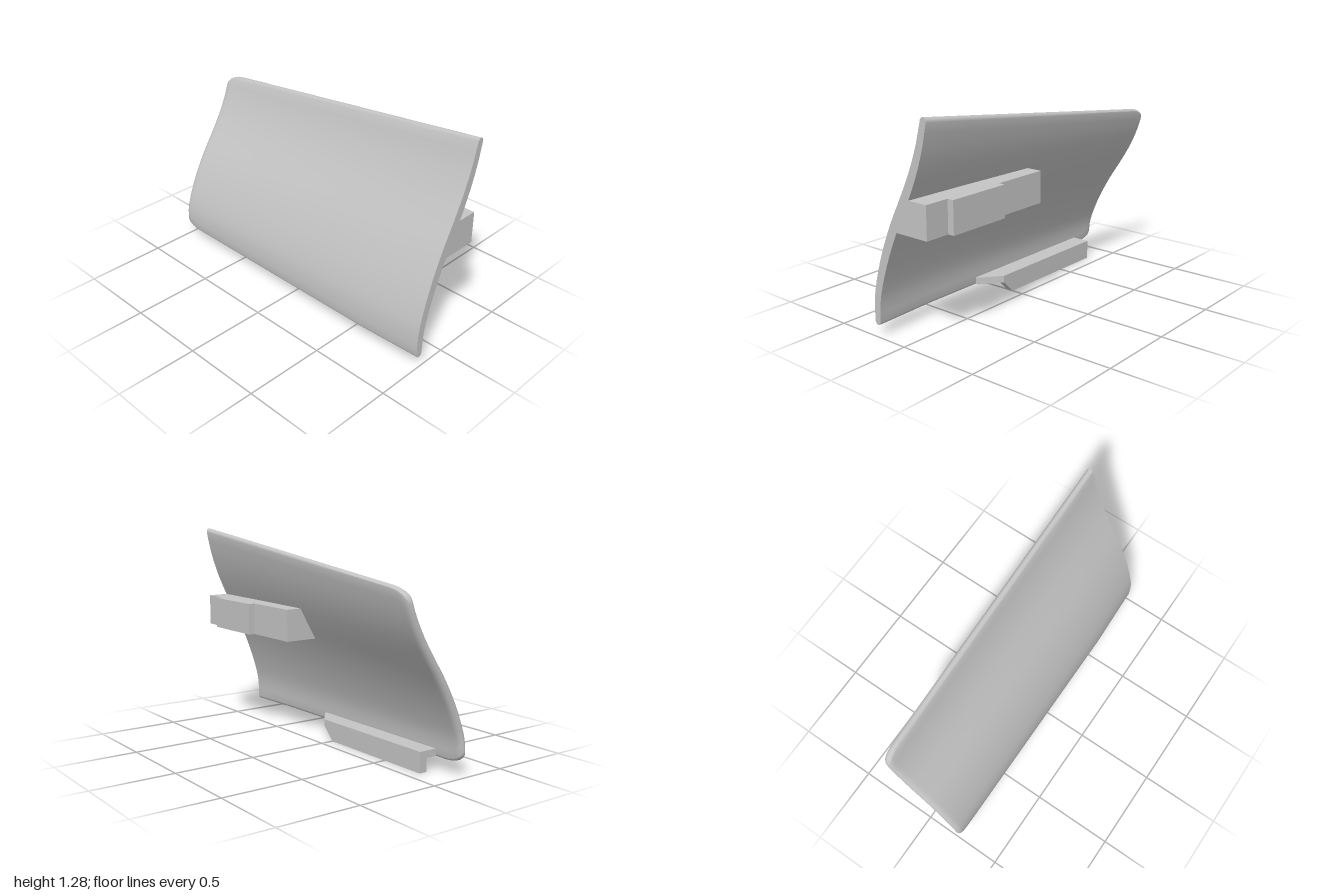
import * as THREE from 'three';
import { mergeVertices, toCreasedNormals } from 'three/addons/utils/BufferGeometryUtils.js';

const BASE = 0.08, HEIGHT = 1.195;

// S-shaped centre line of the panel at its tall front end
const centreLine = new THREE.SplineCurve(
  [-0.203, -0.197, -0.16, -0.107, -0.041, 0.036, 0.107, 0.161, 0.198]
    .map((x, i) => new THREE.Vector2(x, BASE + (i * HEIGHT) / 8)));

// Closed cross-section of the panel at depth z, with rounded tips
function panelSection(z) {
  const d = z + 1;
  const squash = 1 - (1 - z) * 0.097;                 // top edge slopes down to the back
  const c = Math.max(0, 1 - d / 0.13);
  const inset = 0.09 * (1 - Math.sqrt(1 - c * c));    // rounded rear corners
  const e = Math.max(0, 1 - d / 0.035);
  const thin = Math.max(0.15, Math.sqrt(1 - e * e));  // rounded rear rim
  const bulge = -0.016 * Math.min(1, (1 - z) / 0.4);
  const half = (t) => (0.02 + 0.009 * Math.sin(Math.PI * t)) * thin;
  const t0 = (0.02 + inset) / HEIGHT, t1 = 1 - (0.02 + inset) / HEIGHT;
  const ring = [];
  const add = (t, angle) => {
    const p = centreLine.getPoint(t);
    const tan = centreLine.getTangent(t);
    const n = Math.cos(angle) * half(t);
    const s = Math.sin(angle) * 0.02;
    const x = p.x - tan.y * n + tan.x * s + bulge * (1 - t);
    const y = p.y + tan.x * n + tan.y * s;
    ring.push([x, BASE + (y - BASE) * squash, z]);
  };
  const steps = 20, tip = 6;
  for (let i = 0; i <= steps; i++) add(t0 + (t1 - t0) * i / steps, 0);
  for (let i = 1; i < tip; i++) add(t1, Math.PI * i / tip);
  for (let i = steps; i >= 0; i--) add(t0 + (t1 - t0) * i / steps, Math.PI);
  for (let i = 1; i < tip; i++) add(t0, Math.PI + Math.PI * i / tip);
  return ring;
}

function panelGeometry() {
  const depths = [1, 0.8, 0.6, 0.3, 0, -0.3, -0.6, -0.87, -0.91, -0.94,
    -0.965, -0.975, -0.985, -0.993, -0.998, -1];
  const rings = depths.map(panelSection);
  const n = rings[0].length;
  const index = [];
  for (let r = 0; r < rings.length - 1; r++) {
    for (let i = 0; i < n; i++) {
      const j = (i + 1) % n;
      const a = r * n + i, b = r * n + j, c = a + n, d = b + n;
      index.push(a, b, c, b, d, c);
    }
  }
  // front and rear caps
  const cap = (r, flip) => {
    const pts = rings[r].map((p) => new THREE.Vector2(p[0], p[1]));
    const cw = THREE.ShapeUtils.isClockWise(pts);
    for (const f of THREE.ShapeUtils.triangulateShape(pts, [])) {
      const [a, b, c] = f.map((i) => r * n + i);
      const [p, q, s] = f.map((i) => pts[i]);
      const ccw = (q.x - p.x) * (s.y - p.y) - (q.y - p.y) * (s.x - p.x) > 0;
      if (ccw !== flip) index.push(a, b, c); else index.push(a, c, b);
    }
    return cw;
  };
  const clockwise = cap(0, false);
  cap(rings.length - 1, true);
  // make side walls face outward
  if (!clockwise) {
    const sideCount = (rings.length - 1) * n * 6;
    for (let i = 0; i < sideCount; i += 3) {
      [index[i + 1], index[i + 2]] = [index[i + 2], index[i + 1]];
    }
  }
  const g = new THREE.BufferGeometry();
  g.setAttribute('position', new THREE.Float32BufferAttribute(rings.flat(2), 3));
  g.setIndex(index);
  return toCreasedNormals(mergeVertices(g), 0.6);
}

// Prism with an x-y outline running from z0 to z1
function prismZ(points, z0, z1) {
  const s = new THREE.Shape(points.map((p) => new THREE.Vector2(...p)));
  return new THREE.ExtrudeGeometry(s, { depth: z1 - z0, bevelEnabled: false }).translate(0, 0, z0);
}

export function createModel() {
  const group = new THREE.Group();
  const grey = new THREE.MeshStandardMaterial({ color: 0xc4c4c4 });
  grey.name = 'light grey';
  const add = (name, geometry) => {
    const m = new THREE.Mesh(geometry, grey);
    m.name = name;
    group.add(m);
  };

  add('curvedPanel', panelGeometry());

  // Mounting block with a raised middle pad
  add('mountingBlock', prismZ([[-0.04, 0.642], [0.2, 0.642], [0.2, 0.835], [0.055, 0.835]], 0.075, 1));
  add('mountingPad', prismZ([[0.19, 0.642], [0.24, 0.642], [0.24, 0.835], [0.19, 0.835]], 0.44, 0.845));

  // Lower ledge, drawn in plan with a tapered front end
  const plan = new THREE.Shape([[-0.205, 0.8], [-0.08, 0.8], [-0.08, -0.08], [-0.18, -0.21], [-0.205, -0.21]]
    .map((p) => new THREE.Vector2(...p)));
  add('lowerLedge', new THREE.ExtrudeGeometry(plan, { depth: 0.043, bevelEnabled: false })
    .rotateX(-Math.PI / 2).translate(0, 0.08, 0));

  // Hanging lip under the ledge, sloped at the front
  const lip = new THREE.Shape([[0.8, 0], [0.8, 0.081], [-0.08, 0.081], [0, 0]]
    .map((p) => new THREE.Vector2(...p)));
  add('ledgeLip', new THREE.ExtrudeGeometry(lip, { depth: 0.05, bevelEnabled: false })
    .rotateY(Math.PI / 2).translate(-0.13, 0, 0));

  return group;
}
